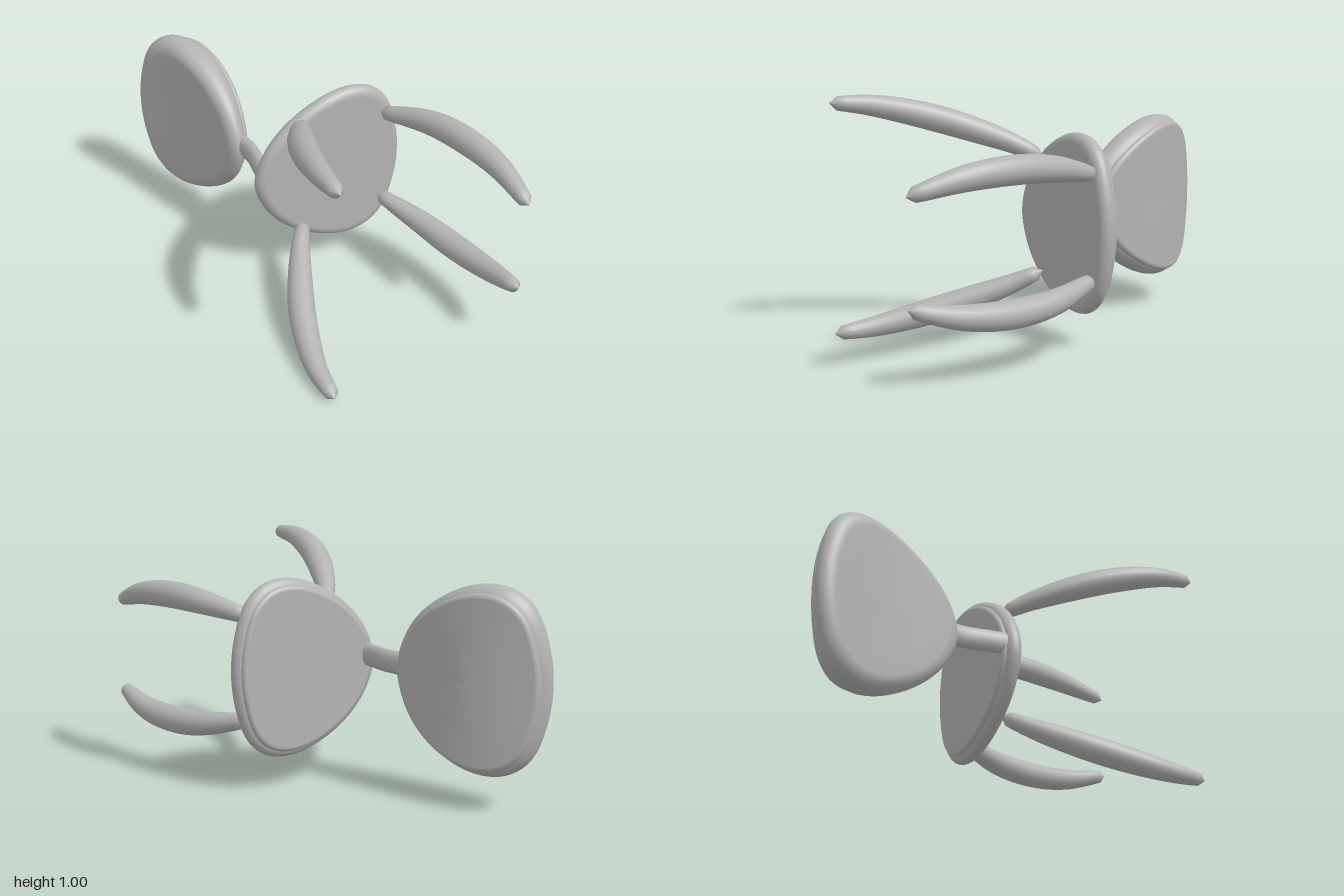
import * as THREE from 'three';

const MID_Y = 0.502;
const LENGTH = 0.69;

// Half outline shared by seat and backrest: distance from the narrow end, half width
const HALF = [[0, 0], [0.045, 0.135], [0.14, 0.245], [0.29, 0.335], [0.43, 0.37],
  [0.54, 0.352], [0.62, 0.285], [0.672, 0.15], [0.69, 0]];

function loopGeometry(rings) {
  const n = rings[0].length, pos = [], index = [];
  rings.forEach(r => r.forEach(p => pos.push(p.x, p.y, p.z)));
  for (let i = 0; i < rings.length - 1; i++) {
    for (let j = 0; j < n; j++) {
      const k = (j + 1) % n, a = i * n + j, b = i * n + k;
      index.push(a, b, b + n, a, b + n, a + n);
    }
  }
  const g = new THREE.BufferGeometry();
  g.setAttribute('position', new THREE.Float32BufferAttribute(pos, 3));
  g.setIndex(index);
  g.computeVertexNormals();
  return g;
}

// Rounded egg-shaped plate; bend(u, w) shapes its thickness and curvature
function plateGeometry(scale, round, bend) {
  const lower = HALF.map(([u, v]) => new THREE.Vector3(u, -v, 0));
  const upper = HALF.slice(1, -1).reverse().map(([u, v]) => new THREE.Vector3(u, v, 0));
  const outline = new THREE.CatmullRomCurve3([...lower, ...upper], true, 'centripetal').getPoints(72).slice(0, -1);
  const section = [[0, -1], [0.3, -1], [0.6, -1]];
  for (let i = 0; i <= 12; i++) {
    const a = (i / 12 - 0.5) * Math.PI;
    section.push([1 - (round / 0.34) * (1 - Math.cos(a)), Math.sin(a)]);
  }
  section.push([0.6, 1], [0.3, 1], [0, 1]);
  const cu = 0.38;
  return loopGeometry(section.map(([s, w]) => outline.map(p => {
    const u = cu + (p.x - cu) * s * scale;
    return new THREE.Vector3(u, p.y * s * scale, bend(u, w));
  })));
}

// Leg swept along a curve, thin at both ends and thick in the middle
function legGeometry(points, mirrored) {
  const curve = new THREE.CatmullRomCurve3(points.map(([x, y, z]) =>
    new THREE.Vector3(x, mirrored ? 2 * MID_Y - y : y, z)));
  const steps = 28, sides = 20, frames = curve.computeFrenetFrames(steps);
  const rings = [];
  const ring = (t, i, r) => {
    const c = curve.getPointAt(t);
    rings.push(Array.from({ length: sides }, (_, j) => {
      const a = (j / sides) * Math.PI * 2;
      return c.clone().addScaledVector(frames.normals[i], Math.cos(a) * r)
        .addScaledVector(frames.binormals[i], Math.sin(a) * r);
    }));
  };
  const radius = t => (0.027 + 0.029 * Math.sin(Math.PI * Math.min(1, t * 1.02)) ** 0.9 || 0.027);
  ring(0, 0, 0);
  for (let i = 0; i <= steps; i++) {
    const t = i / steps;
    const cap = Math.sqrt(Math.max(0, 1 - Math.max(0, 1 - Math.min(t, 1 - t) / 0.045) ** 2));
    ring(t, i, radius(t) * cap);
  }
  return loopGeometry(rings);
}

export function createModel() {
  const model = new THREE.Group();
  model.name = 'tippedChair';
  const grey = new THREE.MeshStandardMaterial({ color: 0xb3b3b3 });
  grey.name = 'plain grey';

  const add = (name, geometry, parent = model) => {
    const mesh = new THREE.Mesh(geometry, grey);
    mesh.name = name;
    parent.add(mesh);
    return mesh;
  };
  const placed = (name, u, v, w, origin) => {
    const group = new THREE.Group();
    group.name = name;
    group.applyMatrix4(new THREE.Matrix4().makeBasis(u, v, w).setPosition(origin));
    model.add(group);
    return group;
  };
  const V = (x, y, z) => new THREE.Vector3(x, y, z);

  // Seat: flat rounded plate with a shallow pad on the sitting side
  const along = V(0.396, 0, -0.918), up = V(-0.918, 0, -0.396);
  const seat = placed('seat', along, V(0, -1, 0), up,
    along.clone().multiplyScalar(-0.14).addScaledVector(up, 0.05).setY(0.494));
  add('seatBody', plateGeometry(0.985, 0.04, (u, w) => w * 0.036), seat);
  add('seatPad', plateGeometry(0.91, 0.02, (u, w) => 0.033 + w * 0.017), seat);

  // Backrest: thicker in the middle and bowed towards the sitter
  const bow = u => 0.048 + 0.4 * u - 0.44 * u * u;
  const half = u => 0.046 + 0.027 * (1 - (2 * u / LENGTH - 1) ** 2);
  const back = placed('backrest', V(-1, 0, 0), V(0, 1, 0), V(0, 0, -1), V(-0.31, MID_Y, 0));
  add('backrestBody', plateGeometry(1, 0.06, (u, w) => bow(u) + w * half(u)), back);
  add('backrestPad', plateGeometry(0.92, 0.02, (u, w) => bow(u) + half(u) - 0.003 + w * 0.017), back);

  // Flat strut joining seat and backrest
  const strut = add('backStrut', new THREE.TubeGeometry(new THREE.CatmullRomCurve3([
    V(-0.09, 0, 0.05), V(-0.16, 0, 0.01), V(-0.25, 0, -0.045), V(-0.38, 0, -0.09)]), 20, 0.031, 16));
  strut.scale.y = 1.55;
  strut.position.y = 0.518;

  // Four splayed, curved legs in mirrored pairs
  const legs = {
    backLeg: [[0.015, 0.74, -0.075], [0.1, 0.805, 0.045], [0.3, 0.903, 0.265], [0.5, 0.958, 0.42], [0.66, 0.973, 0.5]],
    frontLeg: [[0.15, 0.71, -0.425], [0.4, 0.755, -0.42], [0.6, 0.767, -0.38], [0.8, 0.75, -0.32], [0.995, 0.7, -0.232]],
  };
  for (const [name, points] of Object.entries(legs)) {
    add(name + 'Upper', legGeometry(points, false));
    add(name + 'Lower', legGeometry(points, true));
  }
  return model;
}
